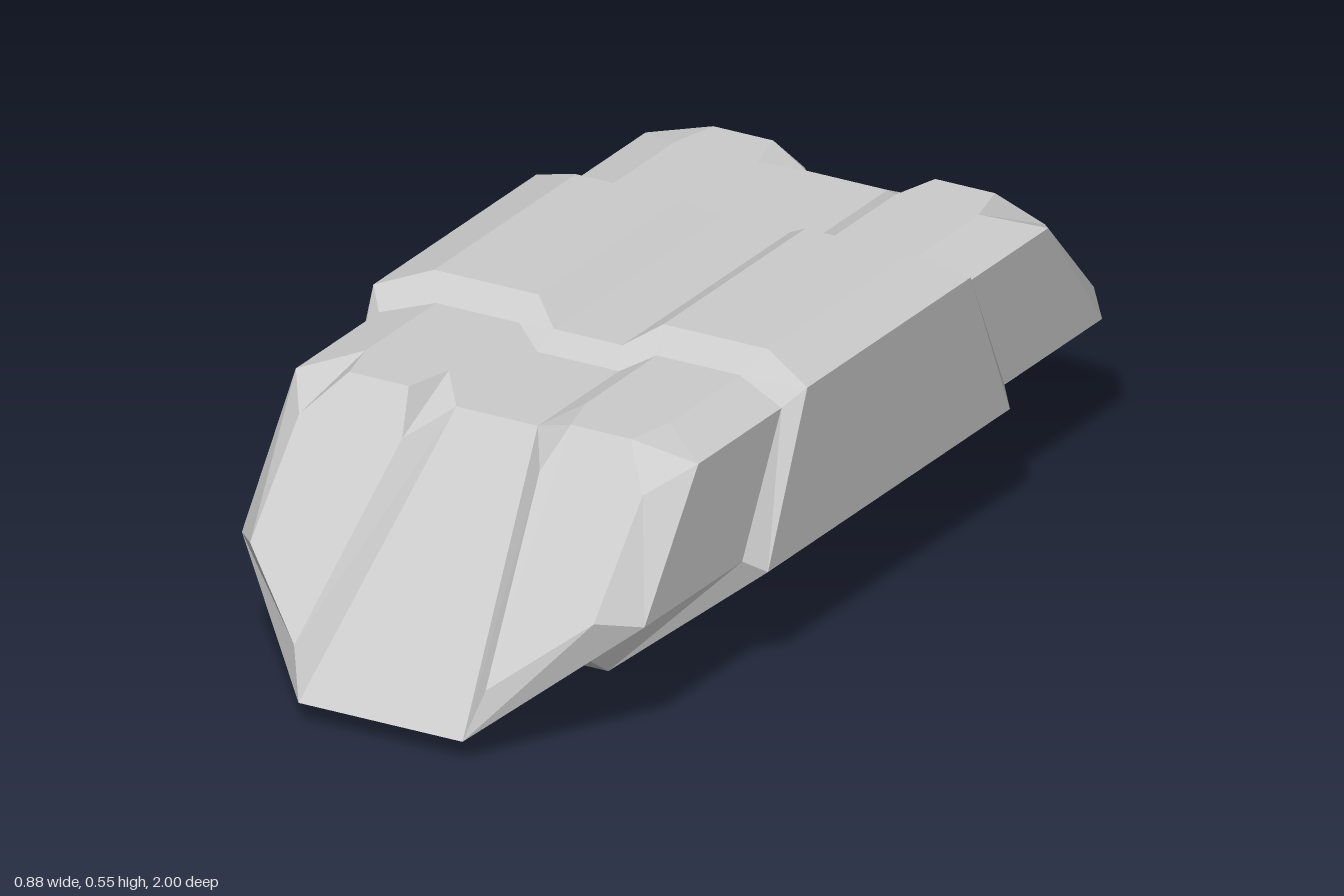
import * as THREE from 'three';

const material = new THREE.MeshStandardMaterial({ color: 0xcccccc, flatShading: true });

// Mirrors the faces of one quarter (+x, +z) into a full body; each face is a convex loop of corners.
function quarterMirrored(name, faces) {
  const pos = [];
  for (const sx of [1, -1]) for (const sz of [1, -1]) {
    for (const face of faces) {
      const loop = face.map(([x, y, z]) => [x * sx, y, z * sz]);
      if (sx * sz < 0) loop.reverse();
      for (let i = 1; i < loop.length - 1; i++) pos.push(...loop[0], ...loop[i], ...loop[i + 1]);
    }
  }
  const geometry = new THREE.BufferGeometry();
  geometry.setAttribute('position', new THREE.Float32BufferAttribute(pos, 3));
  geometry.computeVertexNormals();
  const mesh = new THREE.Mesh(geometry, material);
  mesh.name = name;
  return mesh;
}

// Quads between consecutive cross-section rings, listed from the middle outwards.
function loft(rings) {
  const faces = [];
  for (let r = 0; r < rings.length - 1; r++) {
    const a = rings[r], b = rings[r + 1];
    for (let i = 0; i < a.length - 1; i++) faces.push([a[i], a[i + 1], b[i + 1], b[i]]);
  }
  return faces;
}

const atMiddle = ([x, y]) => [x, y, 0];

export function createModel() {
  const group = new THREE.Group();
  group.name = 'armouredPod';

  // Hull: outline from the bottom centre, round the side, to the top centre
  const M = [0, 0.04, 1], F = [0.167, 0.04, 1], G = [0.41, 0.232, 0.785], A = [0.41, 0.475, 0.6];
  const B = [0.31, 0.505, 0.53], Bi = [0.14, 0.505, 0.53], Ai = [0.083, 0.475, 0.6], T = [0, 0.475, 0.6];
  // Raised, sloping end face beside the central groove
  const C = [0.287, 0.505, 0.625], Ci = [0.165, 0.505, 0.625];
  const D = [0.35, 0.435, 0.69], Di = [0.14, 0.435, 0.69];
  const E = [0.35, 0.252, 0.858], Ei = [0.195, 0.132, 0.968];
  const outline = [M, F, G, A, B, Bi, Ai, T];
  group.add(quarterMirrored('hull', [
    ...loft([outline.map(atMiddle), outline]),
    [M, F, Ai, T],           // central slope
    [F, Ei, Di, Ai],         // groove wall
    [Bi, Ci, C, B],          // front of the raised roof
    [Ei, E, D, C, Ci, Di],   // raised end face
    [F, G, E, Ei], [G, A, D, E], [A, B, C, D], [Ci, Bi, Ai, Di], // chamfers
  ]));

  // Thicker band wrapped round the middle, bevelled down to the hull
  const edge = [
    [0, 0, 0.525], [0.182, 0, 0.525], [0.442, 0.206, 0.415], [0.442, 0.508, 0.28],
    [0.34, 0.545, 0.243], [0.127, 0.545, 0.243], [0.07, 0.509, 0.288], [0, 0.509, 0.288],
  ];
  const foot = [
    [0, 0.04, 0.578], [0.167, 0.04, 0.578], [0.41, 0.232, 0.45], [0.41, 0.475, 0.315],
    [0.31, 0.505, 0.288], [0.14, 0.505, 0.288], [0.083, 0.475, 0.322], [0, 0.475, 0.322],
  ];
  group.add(quarterMirrored('middleBand', loft([edge.map(atMiddle), edge, foot])));

  return group;
}
